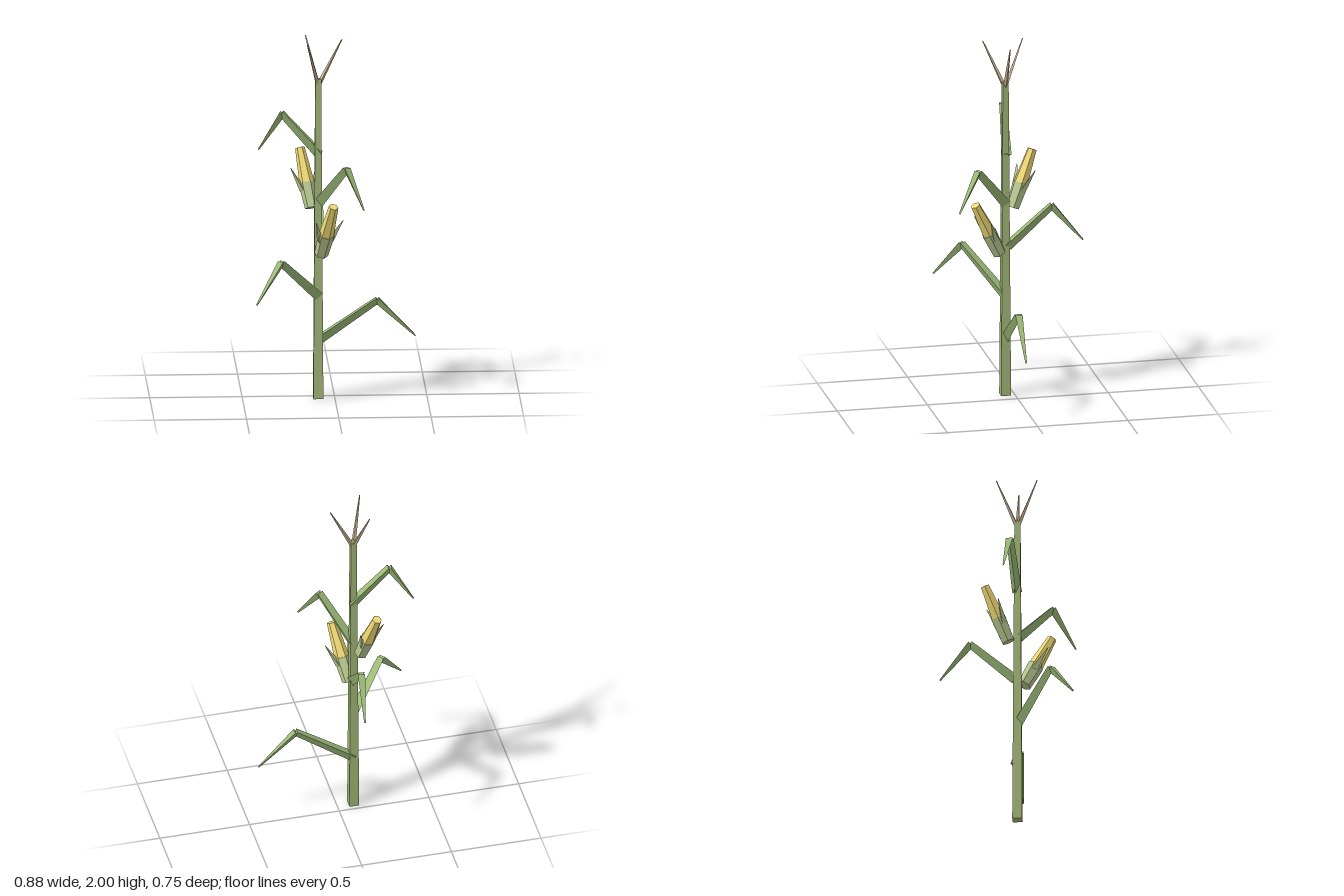
import * as THREE from 'three';

const mat = (color) => new THREE.MeshStandardMaterial({ color, flatShading: true });
const V = (p) => new THREE.Vector3(...p);

// Tapered prism from a to b; one corner of the section points downwards
function limb(name, a, b, r0, r1, sides, material) {
  const start = V(a), end = V(b);
  const dir = end.clone().sub(start);
  const length = dir.length();
  dir.normalize();
  const x = new THREE.Vector3(0, 1, 0).cross(dir).normalize();
  const z = x.clone().cross(dir);
  const mesh = new THREE.Mesh(new THREE.CylinderGeometry(r1, r0, length, sides), material);
  mesh.quaternion.setFromRotationMatrix(new THREE.Matrix4().makeBasis(x, dir, z));
  mesh.position.copy(start).add(end).multiplyScalar(0.5);
  mesh.name = name;
  return mesh;
}

export function createModel() {
  const plant = new THREE.Group();
  plant.name = 'cornPlant';
  const stalkMat = mat(0xa3b878), leafMat = mat(0x9cba78);
  const huskMat = mat(0xbccb92), cobMat = mat(0xf2dc78), tasselMat = mat(0xcdb694);
  const cx = -0.09, cz = 0.05;

  // Square tapering stalk
  const stalkGeo = new THREE.CylinderGeometry(0.016 * Math.SQRT2, 0.027 * Math.SQRT2, 1.78, 4);
  stalkGeo.rotateY(Math.PI / 4);
  const stalk = new THREE.Mesh(stalkGeo, stalkMat);
  stalk.position.set(cx, 0.89, cz);
  stalk.name = 'stalk';
  plant.add(stalk);

  // Bent leaves: base, bend and tip
  const leaves = [
    [[-0.09, 0.325, 0.04], [0.23, 0.545, 0.045], [0.437, 0.343, 0.05]],
    [[-0.09, 0.575, 0.06], [-0.297, 0.805, 0.245], [-0.437, 0.602, 0.372]],
    [[-0.085, 0.845, 0.04], [-0.072, 1.065, -0.205], [-0.05, 0.863, -0.373]],
    [[-0.085, 1.09, 0.05], [0.055, 1.32, 0.23], [0.143, 1.118, 0.353]],
    [[-0.08, 1.36, 0.045], [-0.285, 1.585, 0.02], [-0.412, 1.375, -0.007]],
  ];
  for (const [base, bend, tip] of leaves) {
    const leaf = new THREE.Group();
    leaf.name = 'leaf';
    leaf.add(limb('leafBase', base, bend, 0.031, 0.023, 3, leafMat));
    leaf.add(limb('leafTip', bend, tip, 0.023, 0.005, 3, leafMat));
    plant.add(leaf);
  }

  // Ears: husk, cob and a pair of husk blades
  const ears = [
    [[-0.075, 0.81, 0.085], [-0.015, 1.11, 0.232]],
    [[-0.122, 1.05, 0.003], [-0.181, 1.355, -0.12]],
  ];
  for (const [a, b] of ears) {
    const ear = new THREE.Group();
    ear.name = 'ear';
    const at = (t) => V(a).lerp(V(b), t);
    const side = new THREE.Vector3(b[2] - a[2], 0, a[0] - b[0]).normalize();
    ear.add(limb('husk', a, b.map((v, i) => a[i] + (v - a[i]) * 0.42), 0.038, 0.045, 6, huskMat));
    ear.add(limb('cob', at(0.38).toArray(), b, 0.042, 0.026, 6, cobMat));
    for (const s of [-1, 1]) {
      const root = at(0.3).addScaledVector(side, s * 0.032).toArray();
      const tip = at(0.69).addScaledVector(side, s * 0.08).toArray();
      ear.add(limb('huskBlade', root, tip, 0.02, 0.002, 3, huskMat));
    }
    plant.add(ear);
  }

  // Tassel: three thin spikes spread evenly
  for (let i = 0; i < 3; i++) {
    const t = (i * Math.PI * 2) / 3;
    const out = (r, y) => [cx + r * Math.cos(t), y, cz + r * Math.sin(t)];
    plant.add(limb('tassel', out(0.004, 1.75), out(0.128, 1.998), 0.013, 0.003, 4, tasselMat));
  }
  return plant;
}
